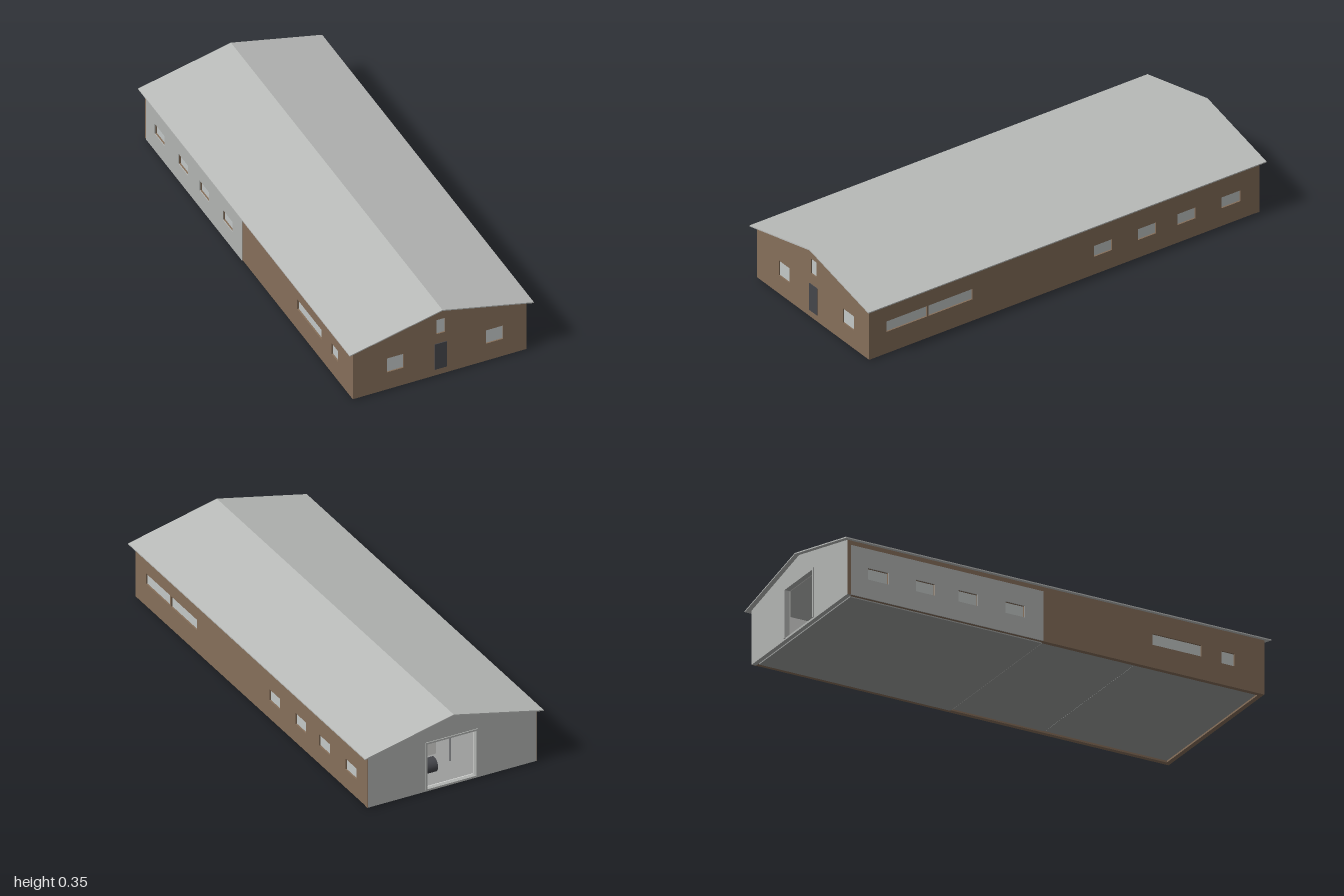
import * as THREE from 'three';

const paint = (name, color, side = THREE.FrontSide) => {
  const m = new THREE.MeshStandardMaterial({ color, side });
  m.name = name;
  return m;
};

export function createModel() {
  const root = new THREE.Group();
  root.name = 'barn';
  const brown = paint('brown wall', 0x866f5a);
  const grey = paint('grey cladding', 0xb2b4b2);
  const roofGrey = paint('roof grey', 0xb9bbb9);
  const white = paint('white lining', 0xdcdcda);
  const glass = paint('window glass', 0xc3c8c7);
  const dark = paint('dark metal', 0x45464b);
  const concrete = paint('concrete', 0x9c9e9d);

  const add = (name, geo, mat, x = 0, y = 0, z = 0, parent = root) => {
    const mesh = new THREE.Mesh(geo, mat);
    mesh.name = name;
    mesh.position.set(x, y, z);
    parent.add(mesh);
    return mesh;
  };
  const box = (name, mat, x0, x1, y0, y1, z0, z1) =>
    add(name, new THREE.BoxGeometry(x1 - x0, y1 - y0, z1 - z0), mat, (x0 + x1) / 2, (y0 + y1) / 2, (z0 + z1) / 2);

  // Flat sheet with rectangular openings [u0, u1, y0, y1]
  const sheet = (points, openings, depth) => {
    const shape = new THREE.Shape(points.map(p => new THREE.Vector2(...p)));
    for (const [a, b, c, d] of openings) {
      shape.holes.push(new THREE.Path([[a, c], [a, d], [b, d], [b, c]].map(p => new THREE.Vector2(...p))));
    }
    return new THREE.ExtrudeGeometry(shape, { depth, bevelEnabled: false });
  };
  const rect = (a, b, c, d) => [[a, c], [b, c], [b, d], [a, d]];

  const T = 0.02, L = -0.395, R = 0.392, Z = 0.98, base = 0.005, eave = 0.249, ridge = 0.341;
  const split = -0.06;

  // Roof: thin folded sheet over the whole length
  add('roof', sheet([[-0.418, 0.244], [0.002, 0.341], [0.415, 0.246], [0.415, 0.251], [0.002, 0.346], [-0.418, 0.249]], [], 2),
    roofGrey, 0, 0, -1);

  // Gable walls
  const gable = [[L, base], [R, base], [R, eave], [0.002, ridge], [L, eave]];
  const innerGable = [[L + T, 0.01], [R - T, 0.01], [R - T, eave], [0.002, ridge - 0.004], [L + T, eave]];
  const frontWindows = [[-0.24, -0.165, 0.092, 0.163], [0.209, 0.285, 0.092, 0.16], [-0.016, 0.022, 0.214, 0.286]];
  add('frontWall', sheet(gable, frontWindows, T), brown, 0, 0, Z - T);
  for (const [a, b, c, d] of frontWindows) {
    box('frontWindow', glass, a, b, c, d, Z - 0.012, Z - 0.006);
  }
  box('frontDoor', dark, -0.025, 0.031, 0.036, 0.165, Z - 0.004, Z + 0.003);

  const gateway = [-0.112, 0.115, 0.014, 0.228];
  add('backWall', sheet(gable, [gateway], T), grey, 0, 0, -Z);
  add('backLining', sheet(innerGable, [gateway], 0.004), white, 0, 0, -Z + T);
  add('partition', sheet(innerGable, [], 0.012), white, 0, 0, split);

  // Gateway trim
  box('gateHead', grey, -0.12, 0.123, 0.228, 0.236, -Z - 0.004, -Z);
  for (const x of [-0.116, 0.119]) box('gateJamb', grey, x - 0.004, x + 0.004, 0.012, 0.228, -Z - 0.004, -Z);

  // Side walls with their windows, along z
  const small = [[-0.885, -0.79], [-0.66, -0.57], [-0.46, -0.37], [-0.24, -0.15]].map(([a, b]) => [a, b, 0.09, 0.142]);
  const rightWindows = [...small, [0.46, 0.682, 0.108, 0.158], [0.69, 0.892, 0.108, 0.158]];
  const leftWindows = [...small, [0.455, 0.685, 0.108, 0.158], [0.78, 0.84, 0.1, 0.156]];
  const sideSheet = (points, holes, depth) => sheet(points, holes, depth).rotateY(-Math.PI / 2);
  const wallOutline = rect(-Z + T, Z - T, base, eave);
  const liningOutline = rect(-Z + T, split, 0.01, eave);

  add('rightWall', sideSheet(wallOutline, rightWindows, T), brown, R);
  add('rightLining', sideSheet(liningOutline, small, 0.004), white, R - T);
  add('leftWall', sideSheet(wallOutline, leftWindows, T), brown, L + T);
  add('leftLining', sideSheet(liningOutline, small, 0.004), white, L + T + 0.004);
  add('leftCladding', sideSheet(rect(-0.965, split, base, 0.228), small, 0.004), grey, L);
  // Brown corner post and eave strip on the gable ends
  box('cornerPost', brown, L - 0.002, L, base, eave, -Z, -Z + T);
  box('rightCorner', brown, R, R + 0.002, base, eave, -Z, -Z + T);

  for (const [x, list] of [[R - 0.01, rightWindows], [L + 0.01, leftWindows]]) {
    for (const [a, b, c, d] of list) {
      box('sideWindow', glass, x - 0.003, x + 0.003, c, d, a, b);
    }
  }

  // Floor slabs: the rear one sits lowest
  box('rearFloor', concrete, -0.383, 0.367, 0, 0.012, -0.96, split);
  box('middleFloor', concrete, L + T, R - T, 0.012, 0.022, split, 0.385);
  box('frontFloor', concrete, L + T, R - T, 0.013, 0.023, 0.387, Z - T);

  // Machine room: cabinet, round tank and pipe rack
  box('cabinet', white, -0.06, 0.05, 0.012, 0.12, -0.74, -0.62);
  const tank = add('tank', new THREE.CylinderGeometry(0.032, 0.032, 0.06, 20), dark, 0.045, 0.046, -0.86);
  tank.rotation.z = Math.PI / 2;
  for (const x of [-0.08, 0.08]) {
    for (const z of [-0.82, -0.55]) {
      add('rackPost', new THREE.CylinderGeometry(0.003, 0.003, 0.19, 8), dark, x, 0.107, z);
    }
    box('rackRail', dark, x - 0.003, x + 0.003, 0.198, 0.204, -0.83, -0.54);
  }
  for (const z of [-0.82, -0.68, -0.55]) box('rackBar', dark, -0.08, 0.08, 0.198, 0.204, z - 0.003, z + 0.003);

  return root;
}
